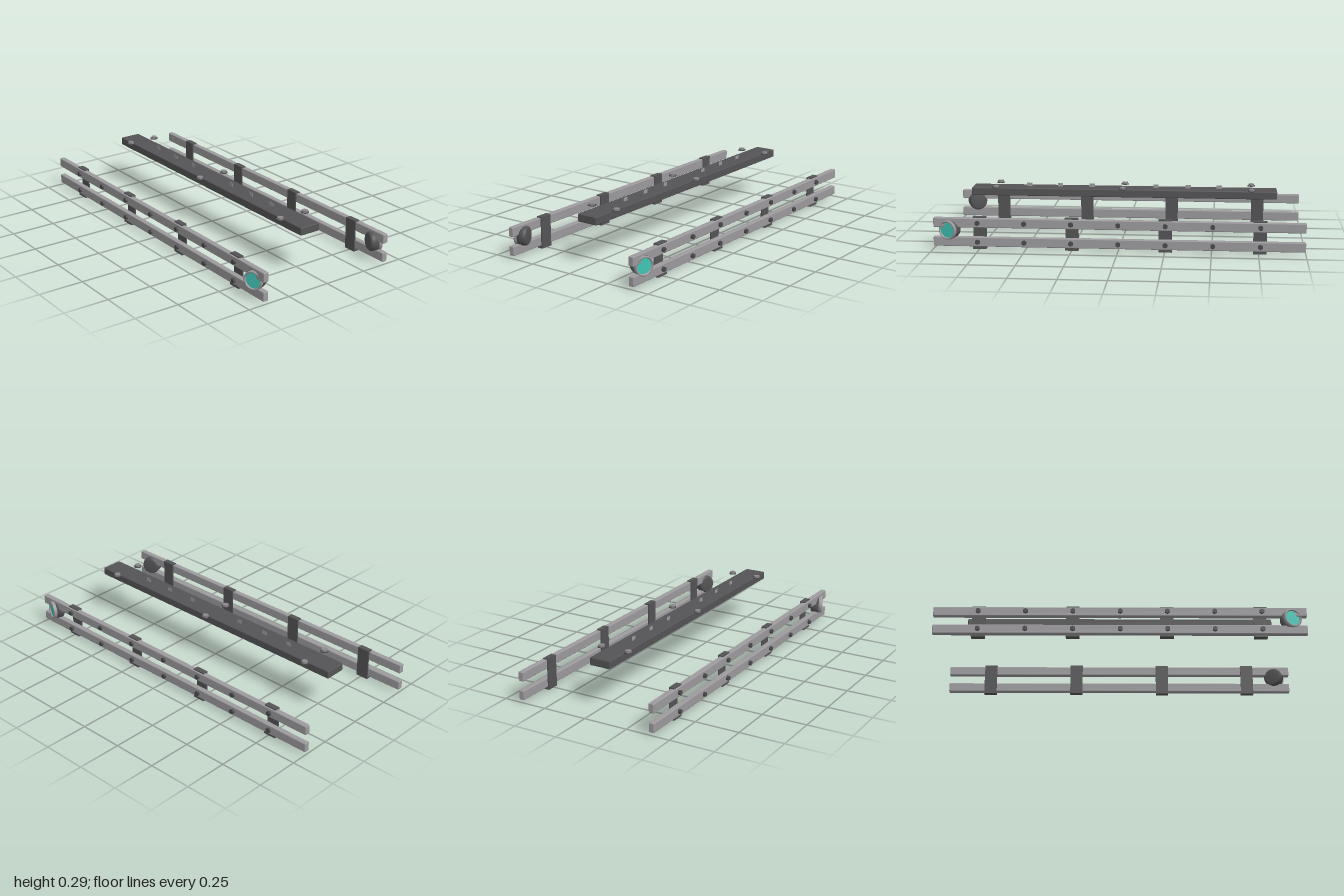
import * as THREE from 'three';
import { RoundedBoxGeometry } from 'three/addons/geometries/RoundedBoxGeometry.js';

const mat = (name, color, side = THREE.FrontSide) => {
  const m = new THREE.MeshStandardMaterial({ color, side });
  m.name = name;
  return m;
};

export function createModel() {
  const railGray = mat('rail gray', 0x9c9a9d);
  const darkGray = mat('dark gray', 0x545456);
  const boltGray = mat('bolt gray', 0x4a4a4c);
  const headGray = mat('bolt head gray', 0x8a888b);
  const lensTeal = mat('lens teal', 0x40c4b4);
  const railDouble = mat('ring gray', 0x9c9a9d, THREE.DoubleSide);

  const model = new THREE.Group();
  model.name = 'railAndPanelKit';
  const add = (parent, name, geometry, material, x = 0, y = 0, z = 0) => {
    const mesh = new THREE.Mesh(geometry, material);
    mesh.name = name;
    mesh.position.set(x, y, z);
    parent.add(mesh);
    return mesh;
  };

  const railGeo = new RoundedBoxGeometry(2, 0.052, 0.031, 2, 0.005);
  const boltGeo = new THREE.CylinderGeometry(0.014, 0.014, 0.016, 6).rotateX(Math.PI / 2);

  // C-shaped clamp: tall inner plate with a lip over and under the rails
  const clampShape = new THREE.Shape([
    [0.373, 0.002], [0.404, 0.002], [0.404, 0.017], [0.38, 0.017],
    [0.38, 0.173], [0.404, 0.173], [0.404, 0.179], [0.373, 0.179],
  ].map(([z, y]) => new THREE.Vector2(z, y)));
  const clampGeo = new THREE.ExtrudeGeometry(clampShape, { depth: 0.072, bevelEnabled: false });
  clampGeo.translate(0, 0, -0.036);

  // Lamp body and rim, turned about the lamp axis
  const lathe = (points) => new THREE.LatheGeometry(
    points.map(([r, z]) => new THREE.Vector2(r, z)), 32).rotateX(Math.PI / 2);
  const bodyGeo = lathe([[0, -0.06], [0.042, -0.06], [0.05, -0.053], [0.053, -0.044], [0.053, -0.012], [0, -0.012]]);
  const rimGeo = lathe([[0.044, -0.014], [0.052, -0.014], [0.052, 0.004], [0.049, 0.007], [0.043, 0.007], [0.04, -0.004]]);
  const lensGeo = new THREE.CylinderGeometry(0.042, 0.042, 0.008, 32).rotateX(Math.PI / 2);

  // One rail assembly on each side, bolts and lamp facing outward
  for (const s of [1, -1]) {
    const side = new THREE.Group();
    side.name = s > 0 ? 'frontRailAssembly' : 'backRailAssembly';
    model.add(side);

    for (const y of [0.043, 0.147]) {
      add(side, 'rail', railGeo, railGray, 0, y, s * 0.396);
      for (let i = -3; i <= 3; i++) add(side, 'railBolt', boltGeo, boltGray, i * 0.253, y, s * 0.416);
    }

    for (const x of [-0.757, -0.253, 0.25, 0.75]) {
      const clamp = add(side, 'clamp', clampGeo, darkGray, x);
      clamp.rotation.y = -s * Math.PI / 2;
      // profile's first axis must point outward on either side
      clamp.rotation.y = s > 0 ? -Math.PI / 2 : Math.PI / 2;
    }

    const lamp = new THREE.Group();
    lamp.name = 'lamp';
    lamp.position.set(0.922, 0.107, s * 0.418);
    lamp.rotation.y = s > 0 ? 0.38 : Math.PI - 0.38;
    side.add(lamp);
    add(lamp, 'lampBody', bodyGeo, darkGray);
    add(lamp, 'lampRim', rimGeo, railDouble);
    add(lamp, 'lampLens', lensGeo, lensTeal, 0, 0, -0.004);
  }

  // Raised centre panel
  add(model, 'panel', new RoundedBoxGeometry(1.71, 0.044, 0.122, 2, 0.005), darkGray, 0, 0.252, 0);

  // Bolts with washers along both long edges of the panel
  const washerGeo = new THREE.CylinderGeometry(0.024, 0.024, 0.003, 6);
  const headGeo = new THREE.CylinderGeometry(0.018, 0.018, 0.012, 6);
  for (const x of [-0.713, 0, 0.713]) {
    for (const z of [-0.082, 0.082]) {
      add(model, 'panelWasher', washerGeo, boltGray, x, 0.28, z);
      add(model, 'panelBolt', headGeo, headGray, x, 0.286, z);
    }
  }

  // Thin upright tabs along the panel's middle
  const tabGeo = new THREE.BoxGeometry(0.03, 0.02, 0.002);
  for (const x of [0.18, 0.36, 0.535]) {
    for (const m of [-1, 1]) add(model, 'panelTab', tabGeo, railGray, m * x, 0.284, 0);
  }
  return model;
}
